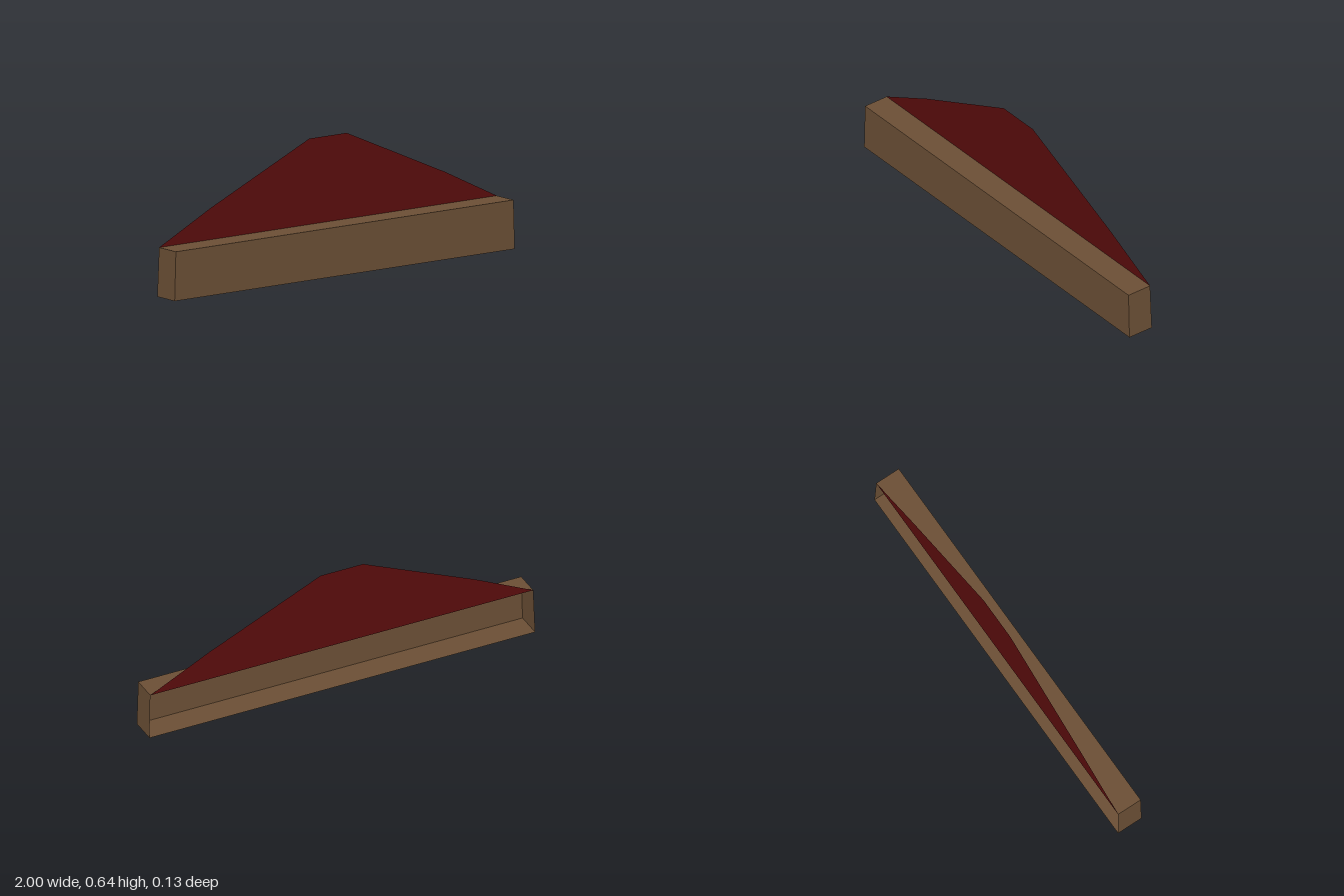
import * as THREE from 'three';

const brown = new THREE.MeshStandardMaterial({ color: 0x6b4f35, side: THREE.DoubleSide });
brown.name = 'brown wood';
const red = new THREE.MeshStandardMaterial({ color: 0x5a0d0d, side: THREE.DoubleSide });
red.name = 'dark red';

// Flat four-cornered panel, corners counter-clockwise from outside
function panel(name, a, b, c, d) {
  const geometry = new THREE.BufferGeometry();
  geometry.setAttribute('position', new THREE.Float32BufferAttribute([a, b, c, a, c, d].flat(), 3));
  geometry.computeVertexNormals();
  const mesh = new THREE.Mesh(geometry, brown);
  mesh.name = name;
  return mesh;
}

export function createModel() {
  const model = new THREE.Group();
  model.name = 'gable';

  // Beam: a hollow trough, open at the back and slightly narrower at the top
  const beam = new THREE.Group();
  beam.name = 'beam';
  const front = 0.066, backLow = -0.066, backHigh = -0.061, top = 0.233;
  const low = (s, z) => [s, 0, z];
  const high = (s, z) => [s * 0.993, top, z];
  beam.add(
    panel('beamFront', low(-1, front), low(1, front), high(1, front), high(-1, front)),
    panel('beamTop', high(-1, front), high(1, front), high(1, backHigh), high(-1, backHigh)),
    panel('beamBottom', low(-1, backLow), low(1, backLow), low(1, front), low(-1, front)),
    panel('beamLeftEnd', low(1, front), low(1, backLow), high(1, backHigh), high(1, front)),
    panel('beamRightEnd', low(-1, backLow), low(-1, front), high(-1, front), high(-1, backHigh)),
  );
  model.add(beam);

  // Flat gable sheet standing on the beam's back top edge
  const half = [[0.993, top], [0.69, 0.383], [0.11, 0.64]];
  const outline = [...half, ...half.map(([x, y]) => [-x, y]).reverse()];
  const shape = new THREE.Shape(outline.map(([x, y]) => new THREE.Vector2(x, y)));
  const sheet = new THREE.Mesh(new THREE.ShapeGeometry(shape), red);
  sheet.name = 'gableSheet';
  sheet.position.z = backHigh;
  model.add(sheet);

  return model;
}
